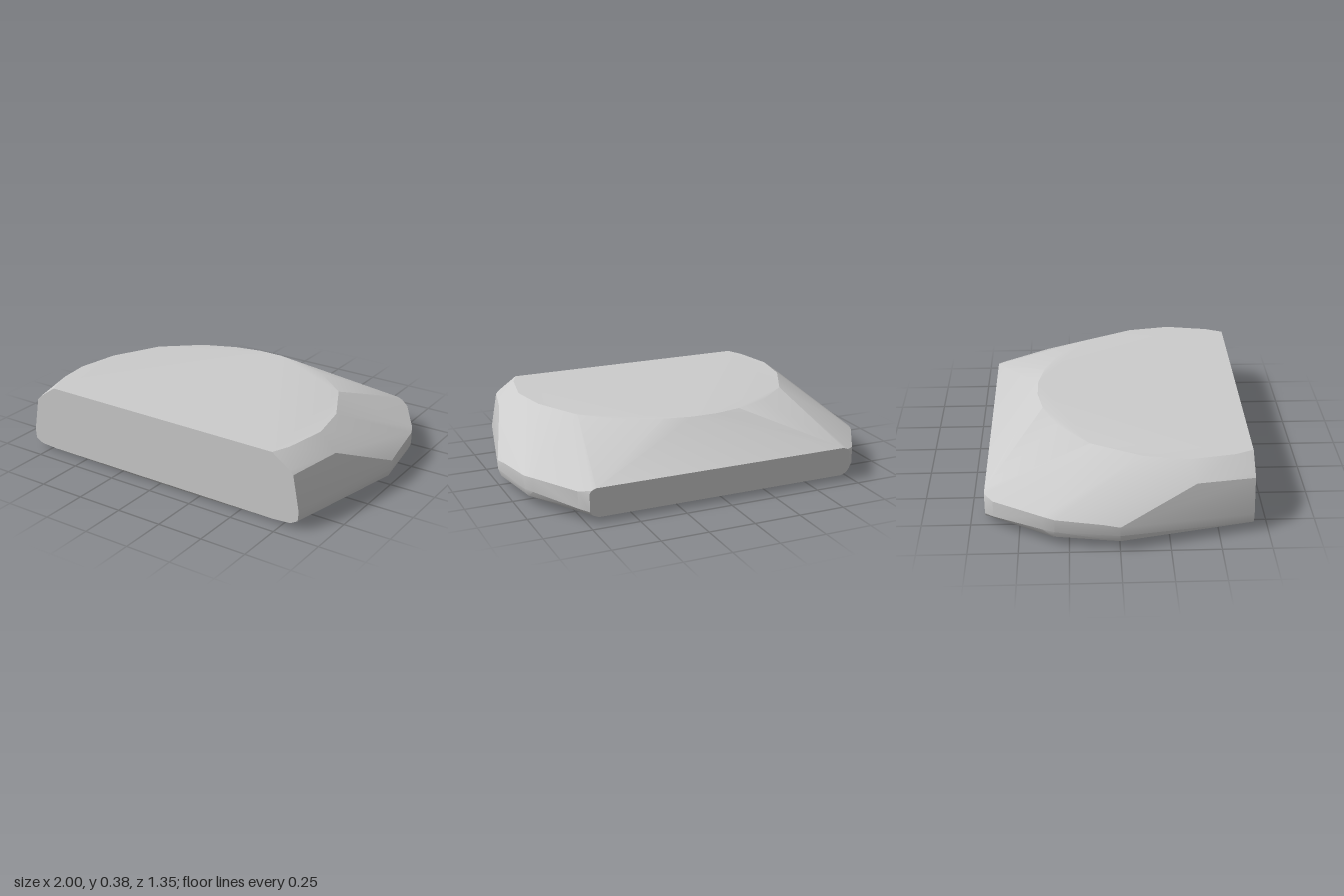
import * as THREE from 'three';
import { ConvexGeometry } from 'three/addons/geometries/ConvexGeometry.js';
import { toCreasedNormals } from 'three/addons/utils/BufferGeometryUtils.js';

// Half contours as [x, y, z]; each is mirrored across x = 0.

// Flat top: straight at the front, rounded at the back
const top = [
  [0.69, 0.38, 0.675], [0.73, 0.38, 0.58], [0.77, 0.38, 0.35], [0.73, 0.38, 0.12],
  [0.6, 0.38, -0.14], [0.4, 0.38, -0.31], [0.22, 0.38, -0.385], [0.07, 0.38, -0.415],
];

// Shoulder: bevel below the top edge, running down to the back face
const shoulder = [
  [0.79, 0.31, 0.675], [0.81, 0.29, 0.675], [0.875, 0.305, 0.38],
  [0.7, 0.18, -0.675], [0.725, 0.17, -0.675],
];

// Waist: the widest band round the sides
const waist = [
  [0.845, 0.1, 0.675], [1, 0.14, 0], [1, 0.09, 0], [0.99, 0.15, -0.08],
  [0.955, 0.16, -0.32], [0.955, 0.09, -0.32], [0.93, 0.165, -0.38], [0.93, 0.09, -0.38],
  [0.78, 0.16, -0.63], [0.78, 0.07, -0.63], [0.735, 0.155, -0.675], [0.735, 0.06, -0.675],
];

// Underside: lower bevel and a shallow belly
const underside = [
  [0.84, 0.05, 0.675], [0.8, 0.027, 0.675], [0.7, 0.02, 0.675],
  [0.985, 0.05, 0], [0.95, 0.03, 0], [0.935, 0.05, -0.33], [0.89, 0.032, -0.34],
  [0.72, 0.04, -0.675], [0.69, 0.027, -0.675],
  [0.3, 0, 0.655], [0.3, 0, 0.05],
];

export function createModel() {
  const points = [...top, ...shoulder, ...waist, ...underside].flatMap(([x, y, z]) => [
    new THREE.Vector3(x, y, z),
    new THREE.Vector3(-x, y, z),
  ]);

  // Faceted body, softly shaded across its shallow edges
  const geometry = toCreasedNormals(new ConvexGeometry(points), THREE.MathUtils.degToRad(25));
  const body = new THREE.Mesh(geometry, new THREE.MeshStandardMaterial({ color: 0xcccccc }));
  body.name = 'body';

  const group = new THREE.Group();
  group.name = 'bevelledBlock';
  group.add(body);
  return group;
}
